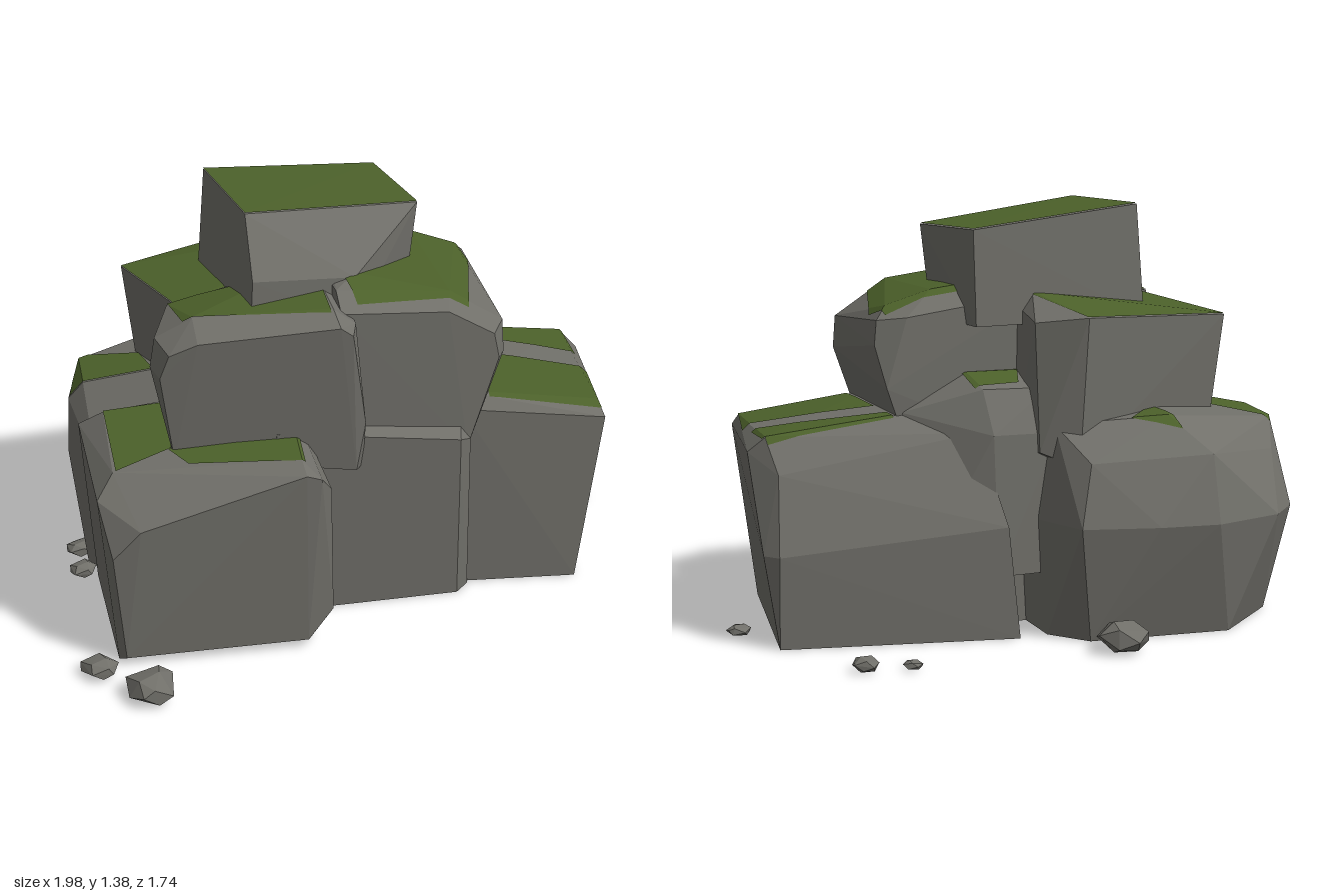
import * as THREE from 'three';
import { ConvexGeometry } from 'three/addons/geometries/ConvexGeometry.js';

const stone = new THREE.MeshStandardMaterial({ color: 0x706f69 });
stone.name = 'stone';
const moss = new THREE.MeshStandardMaterial({ color: 0x4c612a });
moss.name = 'moss';

// Keeps the part of a 3D polygon inside a convex outline drawn in x, z
function clip(poly, outline) {
  let area = 0;
  outline.forEach(([x, z], i) => {
    const [u, w] = outline[(i + 1) % outline.length];
    area += x * w - u * z;
  });
  outline.forEach(([x, z], i) => {
    const [u, w] = outline[(i + 1) % outline.length];
    const side = p => ((u - x) * (p.z - z) - (w - z) * (p.x - x)) * Math.sign(area);
    const kept = [];
    poly.forEach((p, k) => {
      const q = poly[(k + 1) % poly.length], a = side(p), b = side(q);
      if (a >= 0) kept.push(p);
      if (a * b < 0) kept.push(p.clone().lerp(q, a / (a - b)));
    });
    poly = kept;
  });
  return poly;
}

// Thin moss skin following the upward faces of a rock inside an outline
function mossPatch(rockGeometry, outline) {
  const pos = rockGeometry.attributes.position, out = [];
  const tri = new THREE.Triangle(), n = new THREE.Vector3();
  for (let i = 0; i < pos.count; i += 3) {
    tri.setFromAttributeAndIndices(pos, i, i + 1, i + 2);
    if (tri.getNormal(n).y < 0.5) continue;
    const poly = clip([tri.a.clone(), tri.b.clone(), tri.c.clone()], outline);
    for (let k = 1; k < poly.length - 1; k++)
      for (const p of [poly[0], poly[k], poly[k + 1]]) out.push(p.x, p.y + 0.004, p.z);
  }
  const g = new THREE.BufferGeometry();
  g.setAttribute('position', new THREE.Float32BufferAttribute(out, 3));
  g.computeVertexNormals();
  return g;
}

// Faceted rock from its corner points, with optional moss outlines
function rock(name, corners, patches = []) {
  const group = new THREE.Group();
  group.name = name;
  const geo = new ConvexGeometry(corners.map(c => new THREE.Vector3(...c)));
  const body = new THREE.Mesh(geo, stone);
  body.name = name + 'Stone';
  group.add(body);
  for (const outline of patches) {
    const m = new THREE.Mesh(mossPatch(geo, outline), moss);
    m.name = name + 'Moss';
    group.add(m);
  }
  return group;
}

// Small faceted pebble resting on the ground
function pebble(x, z, width, height, seed) {
  const rand = () => {
    seed = (seed * 16807) % 2147483647;
    return seed / 2147483647;
  };
  const corners = [];
  for (let i = 0; i < 14; i++) {
    const v = 1 - (2 * i + 1) / 14, r = Math.sqrt(1 - v * v), a = i * 2.4 + rand() * 0.6;
    const s = 0.9 + rand() * 0.2;
    corners.push([x + Math.cos(a) * r * s * width / 2,
      Math.max(0, height / 2 * (1 + v * 1.08)), z + Math.sin(a) * r * s * width / 2]);
  }
  return rock('pebble', corners);
}

export function createModel() {
  const model = new THREE.Group();
  model.name = 'mossyRockPile';

  // Lower boulders
  model.add(rock('frontBoulder', [
    [-0.86, 0, 0.54], [-0.86, 0, 0], [-0.2, 0, 0], [-0.22, 0, 0.55],
    [-0.84, 0.03, 0.59], [-0.24, 0.03, 0.61], [-0.15, 0.12, 0.58], [-0.15, 0.12, 0],
    [-0.87, 0.4, 0.59], [-0.78, 0.5, 0.61], [-0.25, 0.66, 0.65], [-0.2, 0.64, 0.645],
    [-0.16, 0.58, 0.6], [-0.84, 0.63, 0.43], [-0.25, 0.68, 0.57], [-0.82, 0.66, 0.05],
    [-0.2, 0.69, 0], [-0.9, 0.56, 0.48], [-0.9, 0.6, 0],
  ], [
    [[-0.82, 0.05], [-0.62, 0.05], [-0.62, 0.35], [-0.83, 0.43]],
    [[-0.65, 0.36], [-0.22, 0.36], [-0.24, 0.58], [-0.6, 0.47]],
  ]));
  model.add(rock('centreBoulder', [
    [-0.4, 0, 0.37], [0.33, 0, 0.38], [0.38, 0, 0.33], [0.38, 0, -0.3], [-0.4, 0, -0.3],
    [0.32, 0.61, 0.42], [-0.3, 0.7, 0.42], [0.37, 0.58, 0.36], [0.35, 0.65, 0.3],
    [-0.4, 0.7, -0.3], [0.35, 0.7, -0.3], [-0.2, 0.7, 0.35],
  ]));
  model.add(rock('rightBoulder', [
    [0.1, 0, 0.28], [0.76, 0, 0.36], [0.87, 0, -0.4], [0.1, 0, -0.52],
    [0.84, 0.61, 0.365], [0.83, 0.65, 0.31], [0.35, 0.72, 0.28], [0.35, 0.67, 0.32],
    [0.92, 0.61, -0.2], [0.87, 0.66, -0.24], [0.91, 0.3, -0.36], [0.87, 0.3, -0.41],
    [0.14, 0.37, -0.52], [0.2, 0.66, -0.38], [0.2, 0.74, -0.27], [0.85, 0.55, -0.33],
  ], [
    [[0.45, -0.27], [0.88, -0.26], [0.87, -0.05], [0.45, -0.19]],
    [[0.45, -0.05], [0.88, 0.07], [0.84, 0.34], [0.45, 0.3]],
  ]));
  model.add(rock('backBoulder', [
    [-0.88, 0, -0.1], [-0.83, 0, -0.4], [-0.58, 0, -0.65], [-0.1, 0, -0.63], [0, 0, -0.5],
    [0, 0, 0], [-0.82, 0, -0.02], [-0.92, 0.4, -0.2], [-0.86, 0.38, -0.53],
    [-0.75, 0.38, -0.66], [-0.5, 0.38, -0.75], [-0.3, 0.38, -0.735], [-0.05, 0.38, -0.68],
    [0.02, 0.38, -0.48], [-0.91, 0.6, -0.2], [-0.8, 0.57, -0.5], [-0.5, 0.6, -0.69],
    [-0.1, 0.58, -0.63], [-0.85, 0.66, -0.38], [-0.86, 0.67, -0.17], [-0.5, 0.74, -0.1],
    [-0.4, 0.71, -0.55], [-0.03, 0.69, -0.48], [0, 0.7, 0], [-0.84, 0.4, -0.05],
  ], [
    [[-0.85, -0.41], [-0.65, -0.3], [-0.62, -0.1], [-0.91, -0.18]],
    [[-0.43, -0.6], [-0.28, -0.53], [-0.4, -0.4]],
  ]));
  model.add(rock('backWedge', [
    [-0.05, 0.2, -0.46], [0.16, 0.2, -0.48], [0.4, 0.2, -0.38], [-0.05, 0.2, 0],
    [0.4, 0.2, 0], [-0.05, 0.66, -0.46], [0.17, 0.66, -0.46], [-0.04, 0.8, -0.4],
    [0.18, 0.8, -0.38], [-0.03, 0.84, -0.27], [0.2, 0.84, -0.27], [0.42, 0.72, -0.26],
    [0.3, 0.8, 0], [0, 0.84, 0],
  ], [[[0.05, -0.36], [0.2, -0.36], [0.22, -0.2], [0, -0.2]]]));

  // Upper boulders
  model.add(rock('upperBackSlab', [
    [-0.64, 0.55, -0.32], [-0.1, 0.55, -0.53], [0.02, 0.55, -0.2], [-0.52, 0.55, 0.12],
    [-0.69, 1.01, -0.35], [-0.12, 1.04, -0.555], [-0.02, 1.1, -0.3], [-0.56, 1.05, 0.145],
    [0.03, 1.02, -0.46], [0.02, 0.6, -0.48], [0, 1.1, 0],
  ], [[[-0.7, -0.35], [-0.12, -0.56], [-0.01, -0.3], [0, 0.05], [-0.56, 0.15]]]));
  model.add(rock('upperLeftBoulder', [
    [-0.63, 0.62, 0.37], [-0.6, 0.58, 0.1], [-0.04, 0.55, 0.44], [-0.01, 0.55, 0.4],
    [-0.01, 0.55, 0], [-0.67, 0.92, 0.38], [-0.64, 1.0, 0.39], [-0.55, 1.04, 0.41],
    [-0.1, 1.08, 0.475], [-0.06, 1.05, 0.475], [-0.01, 0.72, 0.44], [-0.01, 0.72, 0],
    [-0.69, 0.93, 0.3], [-0.67, 1.02, 0.28], [-0.55, 1.09, 0.31], [-0.11, 1.12, 0.41],
    [-0.04, 1.07, 0.42], [-0.6, 1.05, 0.1], [-0.1, 1.12, 0], [-0.03, 1.06, 0],
  ], [[[-0.6, 0.08], [-0.1, 0.08], [-0.12, 0.42], [-0.58, 0.3]]]));
  model.add(rock('upperRightBoulder', [
    [-0.1, 0.55, 0.37], [0.36, 0.55, 0.36], [0.38, 0.55, 0.3], [0.38, 0.55, -0.25],
    [-0.1, 0.55, -0.25], [0.46, 0.87, 0.36], [0.44, 0.96, 0.365], [0.28, 1.06, 0.38],
    [-0.08, 1.09, 0.39], [0.49, 0.87, 0.31], [0.485, 0.98, 0.3], [0.3, 1.1, 0.31],
    [-0.08, 1.14, 0.31], [0.5, 0.94, -0.23], [0.49, 1.02, -0.22], [0.45, 1.06, -0.18],
    [0.3, 1.11, -0.2], [0, 1.155, 0.22], [0, 1.15, -0.2], [-0.08, 1.1, -0.26],
    [0.47, 0.8, -0.27], [0.4, 1.03, -0.265],
  ], [[[-0.1, -0.22], [0.46, -0.22], [0.48, -0.1], [0.36, 0.33], [-0.02, 0.36]]]));

  // Capstone on top, its sloping lid fully covered
  model.add(rock('capstone', [
    [-0.41, 1.38, -0.25], [0.2, 1.315, -0.345], [0.26, 1.31, 0.03], [-0.35, 1.38, 0.185],
    [-0.44, 1.0, -0.25], [0.19, 1.0, -0.345], [0.22, 1.0, 0.04], [0.0, 1.0, 0.24],
    [-0.36, 1.0, 0.3], [-0.35, 1.19, 0.3], [0.0, 1.15, 0.24], [0.23, 1.12, 0.04],
  ], [[[-0.41, -0.25], [0.2, -0.345], [0.26, 0.03], [-0.35, 0.185]]]));

  // Scattered pebbles: x, z, width, height
  [
    [-0.15, -0.78, 0.18, 0.1], [0.54, -0.755, 0.065, 0.03], [0.685, -0.735, 0.095, 0.05],
    [0.95, -0.17, 0.09, 0.035], [-0.9, -0.17, 0.1, 0.05], [-0.91, -0.02, 0.1, 0.05],
    [-0.935, 0.62, 0.125, 0.06], [-0.795, 0.79, 0.175, 0.095],
  ].forEach(([x, z, w, h], i) => model.add(pebble(x, z, w, h, 101 + i * 37)));

  return model;
}
